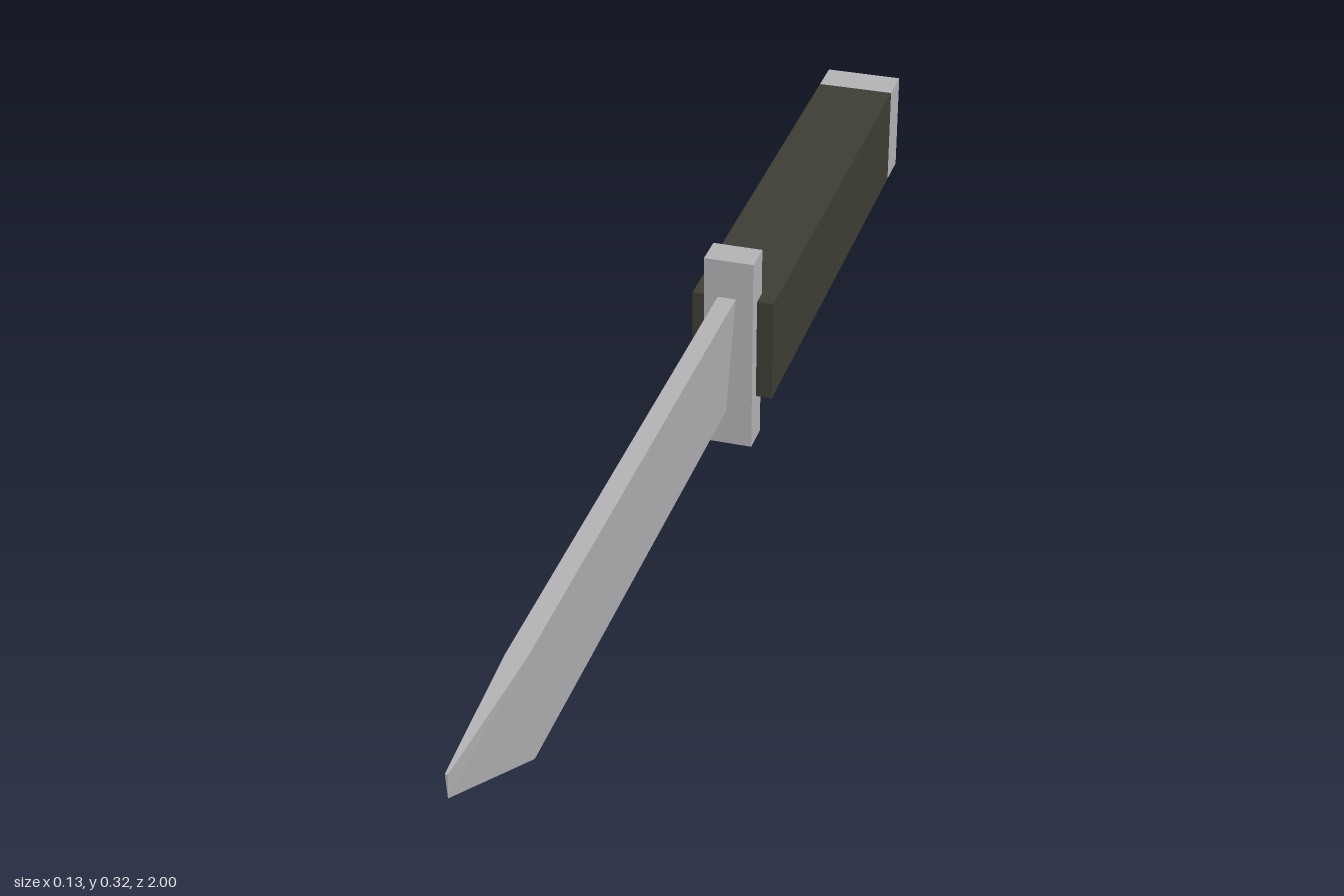
import * as THREE from 'three';

const steel = new THREE.MeshStandardMaterial({ color: 0xb4b4b7 });
steel.name = 'steel';
const grip = new THREE.MeshStandardMaterial({ color: 0x3e3e36 });
grip.name = 'darkGrip';

// Box given by its half width and its y and z ranges
function block(name, material, halfWidth, y0, y1, z0, z1) {
  const mesh = new THREE.Mesh(new THREE.BoxGeometry(halfWidth * 2, y1 - y0, z1 - z0), material);
  mesh.position.set(0, (y0 + y1) / 2, (z0 + z1) / 2);
  mesh.name = name;
  return mesh;
}

// Wedge blade: flat spine, sharp lower edge, slanted point
function createBlade() {
  const top = 0.261, edge = 0.063, back = -0.143;
  const spineBack = [0.014, top, back];
  const shoulder = [0.014, top, 0.77];
  const tipTop = [0.002, top, 1];
  const tipLow = [0, 0.225, 1];
  const edgeFront = [0, edge, 0.72];
  const edgeBack = [0, edge, back];
  const mirror = ([x, y, z]) => [-x, y, z];

  const points = [];
  const tri = (a, b, c) => points.push(...a, ...b, ...c);
  const quad = (a, b, c, d) => { tri(a, b, c); tri(a, c, d); };

  // Both sides
  const sides = [
    [spineBack, shoulder, edgeFront], [spineBack, edgeFront, edgeBack],
    [shoulder, tipTop, tipLow], [shoulder, tipLow, edgeFront],
  ];
  for (const [a, b, c] of sides) {
    tri(a, b, c);
    tri(mirror(a), mirror(c), mirror(b));
  }
  // Spine, tip and rear end
  quad(spineBack, mirror(spineBack), mirror(shoulder), shoulder);
  quad(shoulder, mirror(shoulder), mirror(tipTop), tipTop);
  tri(tipTop, mirror(tipTop), tipLow);
  tri(spineBack, edgeBack, mirror(spineBack));

  const geometry = new THREE.BufferGeometry();
  geometry.setAttribute('position', new THREE.Float32BufferAttribute(points, 3));
  geometry.computeVertexNormals();
  const mesh = new THREE.Mesh(geometry, steel);
  mesh.name = 'blade';
  return mesh;
}

export function createModel() {
  const knife = new THREE.Group();
  knife.name = 'knife';
  knife.add(
    createBlade(),
    block('guard', steel, 0.038, 0, 0.318, -0.201, -0.152),
    block('handle', grip, 0.063, 0.078, 0.243, -0.938, -0.175),
    block('pommel', steel, 0.063, 0.078, 0.243, -1, -0.938),
  );
  return knife;
}
